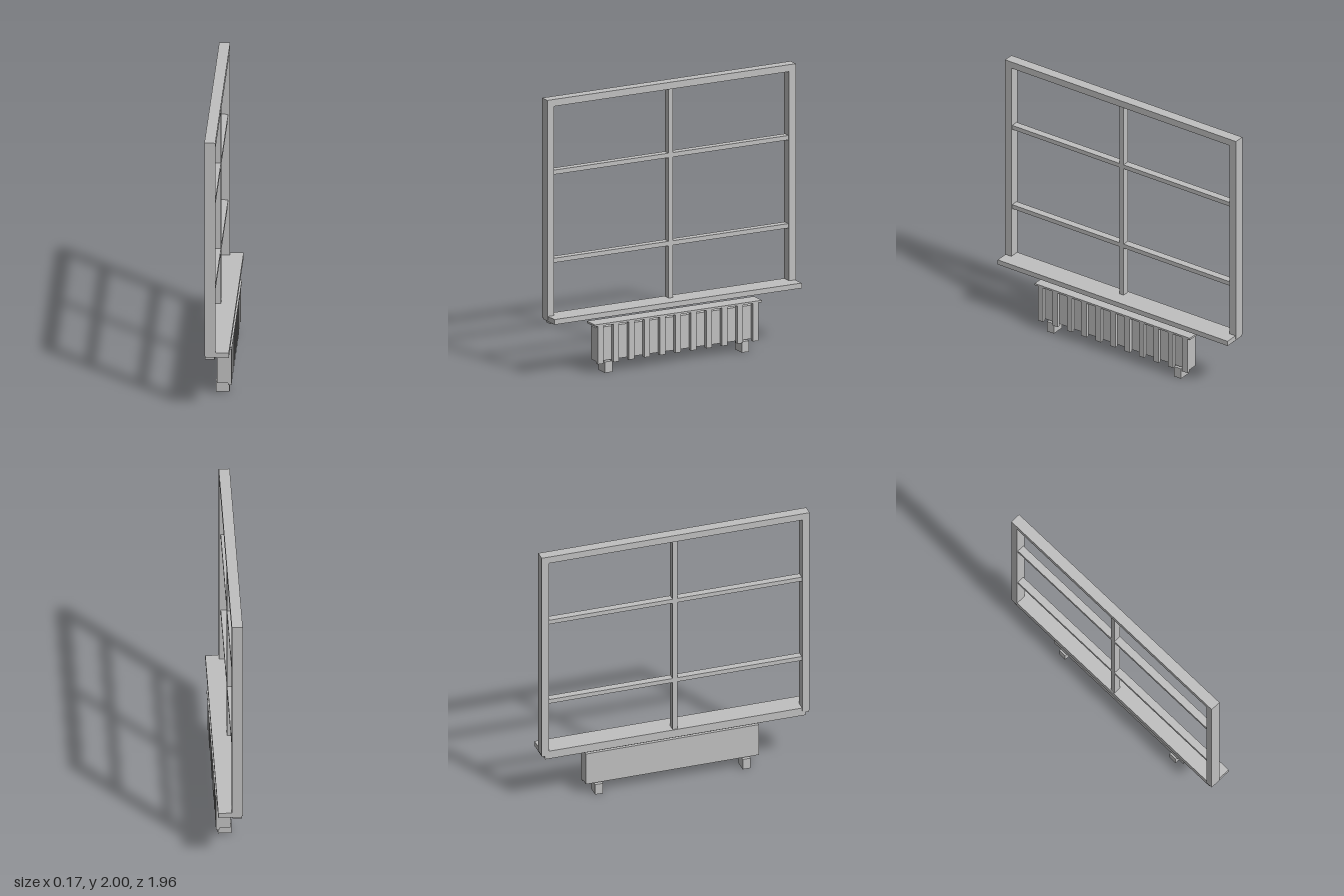
import * as THREE from 'three';

export function createModel() {
  const model = new THREE.Group();
  const grey = new THREE.MeshStandardMaterial({ color: 0xc0c0c0 });
  grey.name = 'light grey';

  // Box given by its min/max extents on each axis
  function box(parent, name, [x0, x1], [y0, y1], [z0, z1]) {
    const mesh = new THREE.Mesh(new THREE.BoxGeometry(x1 - x0, y1 - y0, z1 - z0), grey);
    mesh.position.set((x0 + x1) / 2, (y0 + y1) / 2, (z0 + z1) / 2);
    mesh.name = name;
    parent.add(mesh);
  }
  function group(name) {
    const g = new THREE.Group();
    g.name = name;
    model.add(g);
    return g;
  }

  // Window frame: two stiles and a top rail
  const frame = group('windowFrame');
  const depth = [-0.09, -0.014];
  box(frame, 'topRail', depth, [1.95, 2], [-0.982, 0.982]);
  box(frame, 'leftStile', depth, [0.418, 1.95], [-0.982, -0.929]);
  box(frame, 'rightStile', depth, [0.418, 1.95], [0.929, 0.982]);

  // Glazing bars, slightly recessed in the frame
  const bars = group('glazingBars');
  const barDepth = [-0.079, -0.025];
  box(bars, 'verticalBar', barDepth, [0.443, 1.95], [-0.018, 0.018]);
  for (const y of [0.836, 1.471]) {
    for (const [a, b] of [[-0.929, -0.018], [0.018, 0.929]]) {
      box(bars, 'horizontalBar', barDepth, [y - 0.016, y + 0.016], [a, b]);
    }
  }

  // Sill and the strip beneath it
  const sill = group('windowSill');
  box(sill, 'sillBoard', [-0.086, 0.08], [0.406, 0.443], [-0.978, 0.978]);
  box(sill, 'sillApron', [-0.085, -0.02], [0.382, 0.406], [-0.955, 0.955]);

  // Radiator: body, cover, fins and feet
  const radiator = group('radiator');
  box(radiator, 'body', [-0.021, 0.055], [0.088, 0.33], [-0.635, 0.635]);
  box(radiator, 'cover', [-0.032, 0.085], [0.349, 0.363], [-0.66, 0.66]);
  for (let i = -5; i <= 5; i++) {
    const z = i * 0.1227;
    box(radiator, 'fin', [0.055, 0.08], [0.074, 0.349], [z - 0.022, z + 0.022]);
  }
  for (const z of [-0.541, 0.541]) {
    box(radiator, 'foot', [-0.032, 0.064], [0, 0.079], [z - 0.029, z + 0.029]);
  }

  return model;
}
